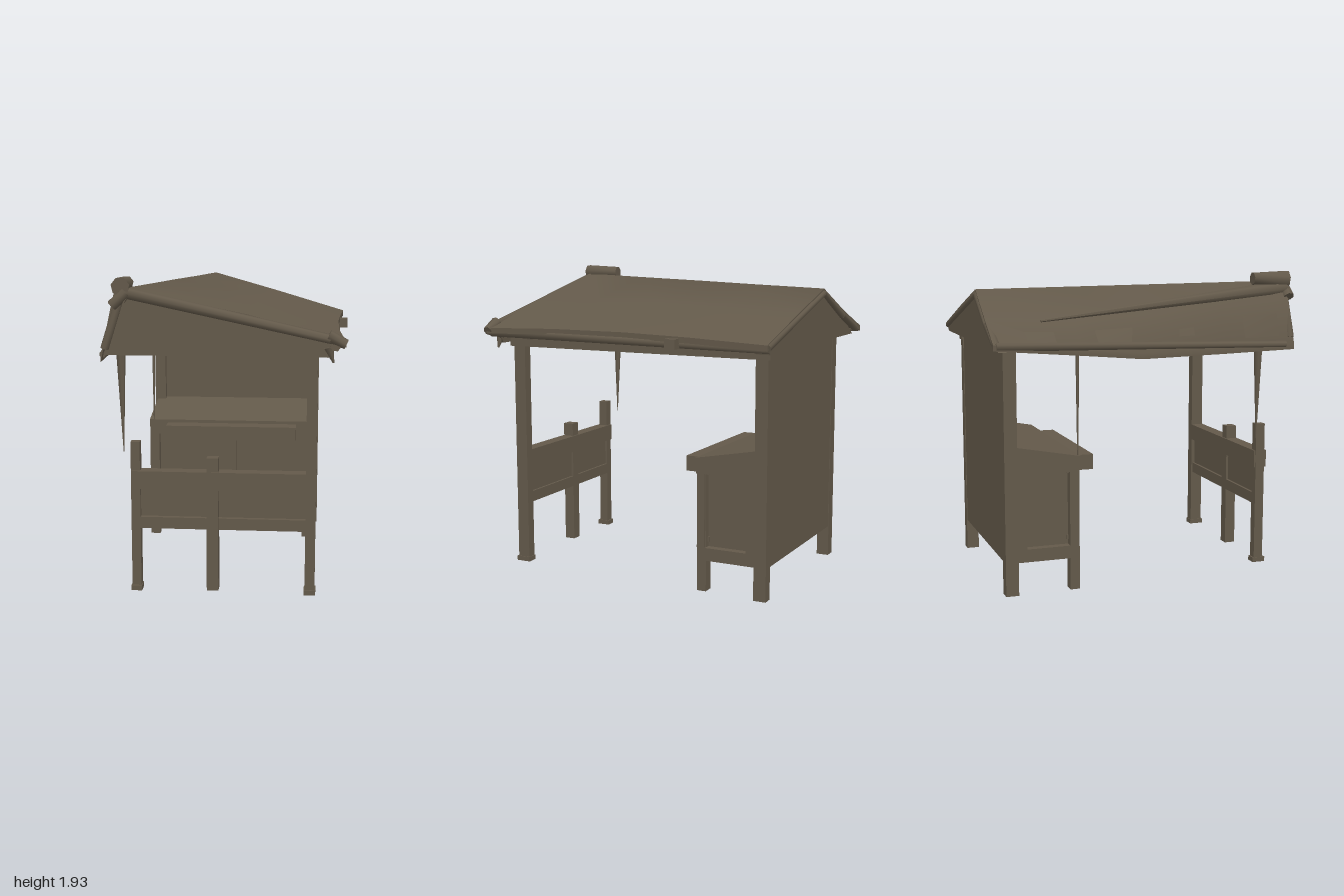
import * as THREE from 'three';
import { toCreasedNormals } from 'three/addons/utils/BufferGeometryUtils.js';

const wood = new THREE.MeshStandardMaterial({ color: 0x63594a, side: THREE.DoubleSide });
wood.name = 'weatheredWood';

export function createModel() {
  const model = new THREE.Group();
  model.name = 'marketStall';

  const add = (name, geometry, parent) => {
    const mesh = new THREE.Mesh(geometry, wood);
    mesh.name = name;
    parent.add(mesh);
    return mesh;
  };
  const group = (name) => {
    const g = new THREE.Group();
    g.name = name;
    model.add(g);
    return g;
  };
  // Box given by its limits on each axis
  const box = (name, [x0, x1], [y0, y1], [z0, z1], parent) => {
    const mesh = add(name, new THREE.BoxGeometry(x1 - x0, y1 - y0, z1 - z0), parent);
    mesh.position.set((x0 + x1) / 2, (y0 + y1) / 2, (z0 + z1) / 2);
  };
  // Squared timber running between two points
  const beam = (name, a, b, w, h, parent) => {
    const p = new THREE.Vector3(...a), q = new THREE.Vector3(...b);
    const mesh = add(name, new THREE.BoxGeometry(w, h, p.distanceTo(q)), parent);
    mesh.position.copy(p).add(q).multiplyScalar(0.5);
    mesh.lookAt(q);
  };
  // Rough round timber tapering from point a to point b
  const taper = (name, a, b, ra, rb, parent) => {
    const p = new THREE.Vector3(...a), q = new THREE.Vector3(...b);
    const geometry = toCreasedNormals(new THREE.CylinderGeometry(rb, ra, p.distanceTo(q), 7), 0.95);
    const mesh = add(name, geometry, parent);
    mesh.position.copy(p).add(q).multiplyScalar(0.5);
    mesh.quaternion.setFromUnitVectors(new THREE.Vector3(0, 1, 0), q.sub(p).normalize());
  };
  // Flat panel from an xy outline, extruded along z
  const panel = (name, points, z, depth, parent) => {
    const shape = new THREE.Shape(points.map((p) => new THREE.Vector2(...p)));
    const mesh = add(name, new THREE.ExtrudeGeometry(shape, { depth, bevelEnabled: false }), parent);
    mesh.position.z = z;
    return mesh;
  };

  // Roof: sections from back to front, each [x, y, z] from left eave over the ridge to the right eave
  const sections = [
    [[-0.79, 1.55, -0.99], [-0.5, 1.67, -0.97], [-0.16, 1.83, -0.95], [0.3, 1.7, -0.95], [0.77, 1.56, -0.95]],
    [[-0.74, 1.5, -0.45], [-0.56, 1.66, -0.45], [-0.25, 1.84, -0.45], [0.26, 1.72, -0.45], [0.745, 1.58, -0.45]],
    [[-0.695, 1.46, -0.05], [-0.58, 1.68, 0], [-0.34, 1.85, 0], [0.22, 1.735, 0], [0.725, 1.59, 0]],
    [[-0.675, 1.47, 0.5], [-0.58, 1.73, 0.5], [-0.43, 1.86, 0.5], [0.22, 1.73, 0.5], [0.725, 1.59, 0.5]],
    [[-0.65, 1.48, 0.98], [-0.59, 1.76, 0.96], [-0.51, 1.87, 0.94], [0.2, 1.725, 0.95], [0.76, 1.58, 0.97]],
  ];
  const roof = group('roof');
  const verts = [], index = [], thick = 0.035, n = sections[0].length, ring = n * 2;
  for (const s of sections) {
    for (const [x, y, z] of s) verts.push(x, y, z);
    for (const [x, y, z] of [...s].reverse()) verts.push(x, y - thick, z);
  }
  for (let i = 0; i < sections.length - 1; i++) {
    for (let j = 0; j < ring; j++) {
      const a = i * ring + j, b = i * ring + (j + 1) % ring;
      index.push(a, a + ring, b, b, a + ring, b + ring);
    }
  }
  for (let j = 0; j < n - 1; j++) {
    const k = (sections.length - 1) * ring;
    index.push(j, j + 1, ring - 1 - j, j + 1, ring - 2 - j, ring - 1 - j);
    index.push(k + j, k + ring - 1 - j, k + j + 1, k + j + 1, k + ring - 1 - j, k + ring - 2 - j);
  }
  const shell = new THREE.BufferGeometry();
  shell.setAttribute('position', new THREE.Float32BufferAttribute(verts, 3));
  shell.setIndex(index);
  add('roofShell', toCreasedNormals(shell, 1.0), roof);

  // Gable panels closing the roof ends
  panel('frontGable', [[-0.64, 1.48], [0.66, 1.48], [0.73, 1.57], [0.2, 1.71], [-0.5, 1.85], [-0.57, 1.75]], 0.91, 0.025, roof);
  panel('backGable', [[-0.74, 1.5], [0.72, 1.5], [0.73, 1.55], [0.3, 1.68], [-0.16, 1.81], [-0.5, 1.65]], -0.95, 0.09, roof);

  // Edge timbers, ridge roll and knobs
  taper('frontBargeboard', [-0.54, 1.85, 0.95], [0.74, 1.575, 0.96], 0.035, 0.028, roof);
  taper('leftBargeboard', [-0.53, 1.84, 0.95], [-0.63, 1.52, 0.96], 0.025, 0.025, roof);
  const backEdge = [[-0.77, 1.535, -0.965], [-0.5, 1.64, -0.955], [-0.16, 1.8, -0.94], [0.75, 1.54, -0.94]];
  for (let i = 0; i < 3; i++) taper('backBargeboard', backEdge[i], backEdge[i + 1], 0.025, 0.025, roof);
  taper('ridgeRoll', [-0.53, 1.83, 0.97], [-0.57, 1.66, -0.65], 0.045, 0.008, roof);
  taper('ridgeKnob', [-0.53, 1.885, 0.74], [-0.53, 1.88, 0.98], 0.04, 0.055, roof);
  taper('ridgeFoot', [-0.5, 1.85, 0.97], [-0.58, 1.77, 0.97], 0.03, 0.035, roof);
  taper('rightEave', [0.7, 1.55, 0.97], [0.72, 1.53, -0.95], 0.03, 0.025, roof);
  box('eavePeg', [0.7, 0.79], [1.51, 1.57], [-0.38, -0.31], roof);
  taper('eaveKnob', [0.66, 1.61, 0.96], [0.76, 1.56, 0.96], 0.035, 0.03, roof);
  taper('eaveDrip', [0.66, 1.54, 0.93], [0.69, 1.45, 0.93], 0.03, 0.005, roof);
  taper('leftEave', [-0.65, 1.48, 0.92], [-0.77, 1.535, -0.97], 0.02, 0.025, roof);

  // Rafters beneath the shell
  for (const z of [-0.7, -0.35, 0, 0.35, 0.7]) {
    const ridge = -0.33 - z * 0.18;
    beam('rafter', [ridge, 1.78, z], [0.68, 1.53, z], 0.04, 0.04, roof);
  }

  // Standing posts, top plates and corner braces
  const frame = group('frame');
  box('frontPole', [0.54, 0.6], [0.03, 1.55], [0.79, 0.87], frame);
  box('frontPoleFoot', [0.535, 0.605], [0.03, 0.06], [0.785, 0.88], frame);
  beam('rightPlate', [0.57, 1.49, 0.9], [0.57, 1.49, -0.9], 0.06, 0.07, frame);
  box('frontPlate', [-0.6, 0.6], [1.48, 1.52], [0.8, 0.86], frame);
  for (const s of [-1, 1]) {
    box('backPole', s > 0 ? [0.535, 0.6] : [-0.595, -0.52], [0, 1.52], [-0.89, -0.81], frame);
    beam('brace', [s * 0.54, 1.42, -0.83], [s * 0.4, 1.5, -0.83], 0.03, 0.03, frame);
  }
  box('backWall', [-0.57, 0.57], [0.2, 1.52], [-0.885, -0.86], frame);
  taper('frontSplinter', [-0.57, 1.5, 0.77], [-0.56, 0.87, 0.77], 0.03, 0.002, frame);
  taper('sideSplinter', [-0.55, 1.5, -0.42], [-0.55, 0.83, -0.42], 0.012, 0.004, frame);

  // Front fence
  const fence = group('fence');
  box('leftPost', [-0.505, -0.45], [0.04, 0.95], [0.8, 0.86], fence);
  box('leftPostFoot', [-0.51, -0.445], [0.03, 0.06], [0.79, 0.875], fence);
  box('middlePost', [-0.05, 0.02], [0.04, 0.86], [0.8, 0.87], fence);
  box('topRail', [-0.5, 0.55], [0.665, 0.775], [0.79, 0.875], fence);
  box('lowerRail', [-0.5, 0.55], [0.42, 0.49], [0.8, 0.86], fence);
  box('fencePanel', [-0.48, 0.55], [0.48, 0.67], [0.815, 0.83], fence);

  // Cabinet with inset panels
  const cabinet = group('cabinet');
  box('cabinetBody', [-0.53, 0.53], [0.21, 0.8], [-0.86, -0.48], cabinet);
  box('middleStile', [-0.03, 0.03], [0.22, 0.8], [-0.49, -0.43], cabinet);
  box('bottomRail', [-0.56, 0.56], [0.2, 0.26], [-0.86, -0.42], cabinet);
  box('frontTopRail', [-0.55, 0.55], [0.73, 0.82], [-0.49, -0.425], cabinet);
  box('frontShelf', [-0.54, 0.54], [0.31, 0.34], [-0.49, -0.45], cabinet);
  box('counterLip', [-0.45, 0.45], [0.72, 0.815], [-0.43, -0.29], cabinet);
  for (const s of [-1, 1]) {
    const side = (a, b) => (s > 0 ? [a, b] : [-b, -a]);
    box('frontLeg', s > 0 ? [0.495, 0.565] : [-0.58, -0.515], [0, 0.82], [-0.48, -0.42], cabinet);
    box('sideBottomRail', side(0.52, 0.58), [0.2, 0.28], [-0.82, -0.46], cabinet);
    box('sideTopRail', side(0.52, 0.58), [0.74, 0.82], [-0.82, -0.42], cabinet);
    box('sideFrontStile', side(0.52, 0.58), [0.28, 0.74], [-0.475, -0.425], cabinet);
    box('sideBackStile', side(0.52, 0.58), [0.28, 0.74], [-0.82, -0.75], cabinet);
  }
  // Sloping counter: a side outline extruded across x
  const counter = panel('counter', [[0.41, 0.79], [0.86, 0.79], [0.86, 0.92], [0.41, 0.835]], 0, 1.16, cabinet);
  counter.rotation.y = Math.PI / 2;
  counter.position.x = -0.58;

  return model;
}
